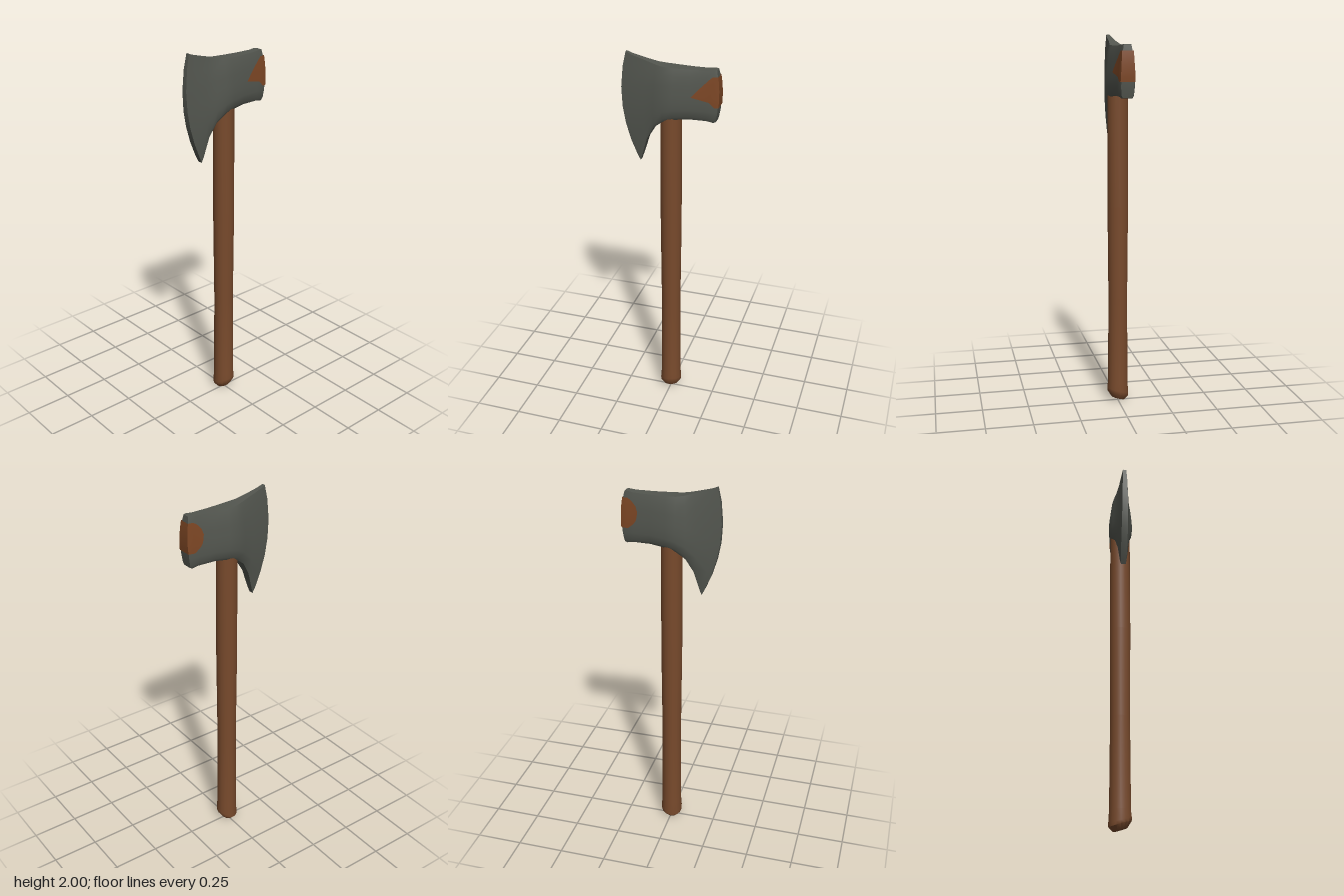
import * as THREE from 'three';
import { toCreasedNormals } from 'three/addons/utils/BufferGeometryUtils.js';

const steel = new THREE.MeshStandardMaterial({ color: 0x53564f });
steel.name = 'dark steel';
const wood = new THREE.MeshStandardMaterial({ color: 0x784a2c });
wood.name = 'wood';
const rust = new THREE.MeshStandardMaterial({ color: 0x7c4624, side: THREE.DoubleSide });
rust.name = 'rust';

// Head stations from blade to butt: bottom x, y, top x, y, bow, half thickness
const STATIONS = [
  [-0.16, 1.43, -0.23, 2.0, -0.055, 0.017],
  [-0.15, 1.46, -0.2, 1.987, -0.045, 0.024],
  [-0.12, 1.56, -0.12, 1.965, -0.02, 0.036],
  [-0.08, 1.628, -0.07, 1.952, -0.005, 0.05],
  [-0.03, 1.667, -0.03, 1.946, 0, 0.064],
  [0.02, 1.682, 0.02, 1.944, 0, 0.063],
  [0.1, 1.692, 0.1, 1.943, 0, 0.053],
  [0.19, 1.69, 0.19, 1.945, 0, 0.042],
  [0.225, 1.683, 0.225, 1.95, 0.015, 0.038],
  [0.237, 1.687, 0.237, 1.948, 0.014, 0.034],
];
// Thickness profile from bottom to top of the head: height fraction, width factor
const PROFILE = [[0, 0.75], [0.06, 0.93], [0.2, 1], [0.35, 1], [0.5, 0.95], [0.68, 0.86], [0.87, 0.74], [1, 0.56]];

function interpolate(table, x) {
  for (let i = 1; i < table.length; i++) {
    const [x0, y0] = table[i - 1], [x1, y1] = table[i];
    if (x <= x1) return y0 + (y1 - y0) * Math.max(0, (x - x0) / (x1 - x0));
  }
  return table[table.length - 1][1];
}

function buildGeometry(positions, index, crease) {
  const g = new THREE.BufferGeometry();
  g.setAttribute('position', new THREE.Float32BufferAttribute(positions, 3));
  g.setIndex(index);
  return toCreasedNormals(g, crease);
}

function makeHead() {
  const pos = [], idx = [];
  const n = PROFILE.length * 2;
  const quad = (a, b, c, d) => idx.push(a, b, c, a, c, d);
  const ring = [
    ...PROFILE.map(([v, w]) => [v, w]),
    ...PROFILE.map(([v, w]) => [v, -w]).reverse(),
  ];
  for (const [xb, yb, xt, yt, bow, half] of STATIONS) {
    for (const [v, w] of ring) {
      const x = xb + (xt - xb) * v + bow * 4 * v * (1 - v);
      pos.push(x, yb + (yt - yb) * v, w * half + Math.max(0, -x) * 0.025);
    }
  }
  for (let s = 0; s < STATIONS.length - 1; s++) {
    for (let i = 0; i < n; i++) {
      const j = (i + 1) % n;
      quad(s * n + i, (s + 1) * n + i, (s + 1) * n + j, s * n + j);
    }
  }
  // Blunt cutting edge and butt face
  const last = (STATIONS.length - 1) * n;
  for (let i = 0; i < PROFILE.length - 1; i++) {
    const ends = [i, i + 1, n - 2 - i, n - 1 - i];
    quad(...ends);
    quad(...ends.reverse().map((k) => last + k));
  }
  return buildGeometry(pos, idx, 0.75);
}

// Rust patch wrapping from the front cheek over the butt to the back cheek
function makeRust() {
  const rows = [ // y, inner x on front, inner x on back
    [1.765, 0.23, 0.215], [1.79, 0.205, 0.185], [1.81, 0.115, 0.172],
    [1.85, 0.15, 0.165], [1.88, 0.18, 0.175], [1.905, 0.205, 0.198], [1.918, 0.22, 0.218],
  ];
  const widths = [[0.1, 0.053], [0.19, 0.042], [0.239, 0.038], [0.251, 0.034]];
  const pos = [], idx = [];
  const steps = 5, cols = (steps + 1) * 2;
  for (const [y, front, back] of rows) {
    const v = (y - 1.687) / 0.261;
    const butt = 0.237 + 0.056 * v * (1 - v);
    const side = (inner, sign) => {
      const points = [];
      for (let k = 0; k <= steps; k++) {
        const x = k === steps ? butt : inner + (butt - 0.012 - inner) * k / (steps - 1);
        const z = interpolate(widths, x) * interpolate(PROFILE, v) + 0.003;
        points.push([k === steps ? x + 0.003 : x, y, sign * z]);
      }
      return points;
    };
    pos.push(...side(front, 1).flat(), ...side(back, -1).reverse().flat());
  }
  for (let r = 0; r < rows.length - 1; r++) {
    for (let c = 0; c < cols - 1; c++) {
      const a = r * cols + c, d = a + cols;
      idx.push(a, a + 1, d + 1, a, d + 1, d);
    }
  }
  return buildGeometry(pos, idx, 0.75);
}

// Round shaft with a flared, slanted foot
function makeHandle() {
  const profile = [
    [0, 0.022], [0.036, 0.013], [0.058, 0.042], [0.059, 0.06], [0.055, 0.11],
    [0.052, 0.6], [0.056, 1.1], [0.055, 1.72], [0, 1.72],
  ].map(([r, y]) => new THREE.Vector2(r, y));
  const g = new THREE.LatheGeometry(profile, 16);
  const p = g.attributes.position;
  for (let i = 0; i < p.count; i++) {
    if (p.getY(i) < 0.1) p.setY(i, p.getY(i) + 0.3 * p.getZ(i) + 0.14 * p.getX(i));
  }
  return toCreasedNormals(g, 0.7);
}

export function createModel() {
  const group = new THREE.Group();
  group.name = 'axe';
  const parts = [
    ['handle', makeHandle(), wood],
    ['axeHead', makeHead(), steel],
    ['rustPatch', makeRust(), rust],
  ];
  for (const [name, geometry, material] of parts) {
    const mesh = new THREE.Mesh(geometry, material);
    mesh.name = name;
    group.add(mesh);
  }
  return group;
}
